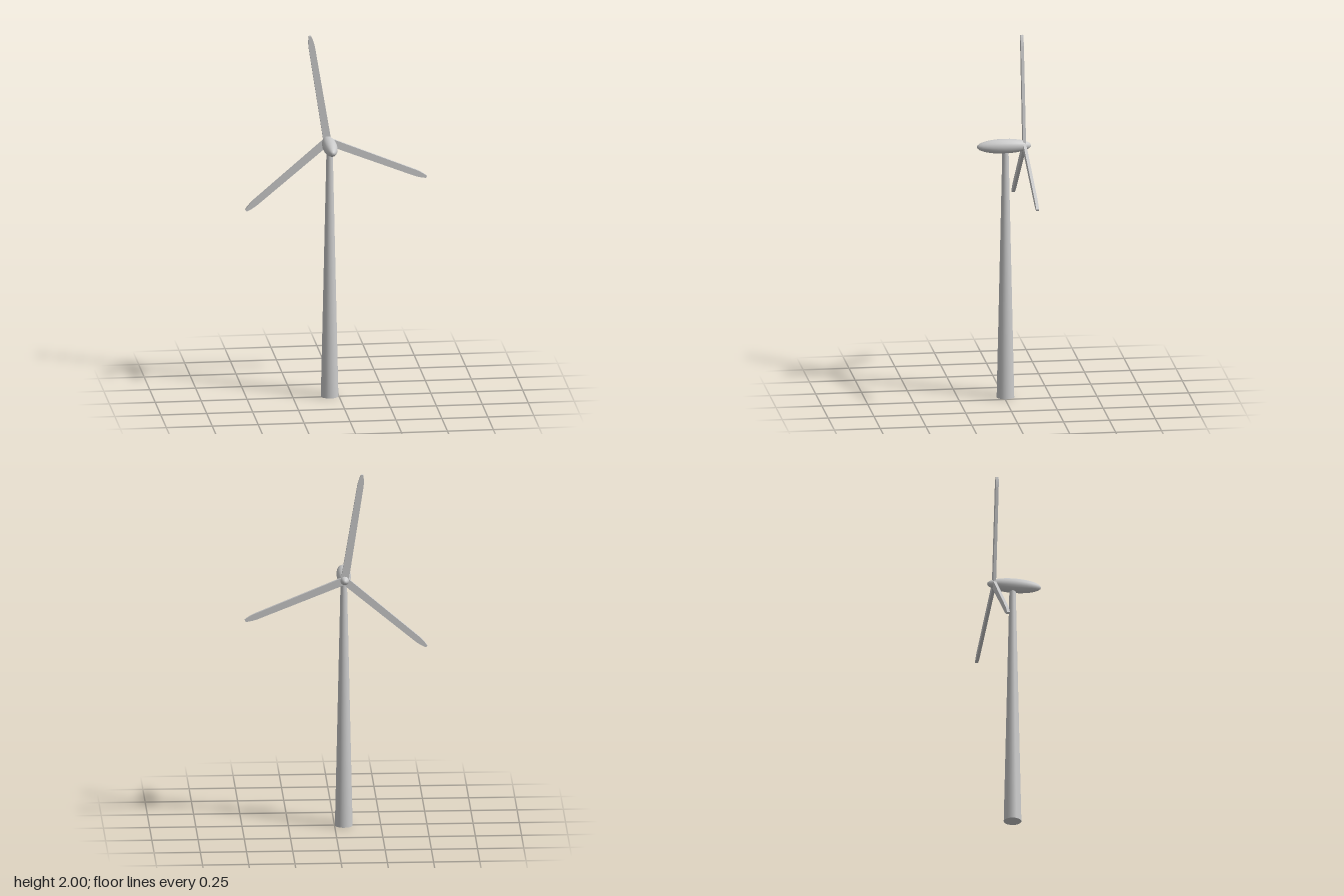
import * as THREE from 'three';

const HUB = { x: -0.05, y: 1.405, z: -0.11 };

// Blade outline along +y: gentle taper, then a narrow rounded tip
function bladeGeometry(length) {
  const depth = 0.016;
  const shape = new THREE.Shape();
  shape.moveTo(-0.021, 0);
  shape.lineTo(0.021, 0);
  shape.lineTo(0.017, length - 0.06);
  shape.quadraticCurveTo(0.014, length - 0.025, 0.006, length);
  shape.lineTo(-0.006, length);
  shape.quadraticCurveTo(-0.014, length - 0.025, -0.017, length - 0.06);
  shape.closePath();
  const geometry = new THREE.ExtrudeGeometry(shape, { depth, bevelEnabled: false, curveSegments: 4 });
  return geometry.translate(0, 0, -depth / 2);
}

export function createModel() {
  const model = new THREE.Group();
  model.name = 'windTurbine';
  const material = new THREE.MeshStandardMaterial({ color: 0xcccccc });

  const add = (name, geometry, x, y, z, parent = model) => {
    const mesh = new THREE.Mesh(geometry, material);
    mesh.name = name;
    mesh.position.set(x, y, z);
    parent.add(mesh);
    return mesh;
  };

  // Tapered tower, its top hidden inside the nacelle
  const towerHeight = 1.39;
  add('tower', new THREE.CylinderGeometry(0.017, 0.048, towerHeight, 24), HUB.x, towerHeight / 2, -0.008);

  // Long ellipsoid nacelle lying along z
  const nacelle = new THREE.SphereGeometry(1, 20, 14).rotateX(Math.PI / 2).scale(0.039, 0.04, 0.148);
  add('nacelle', nacelle, HUB.x, HUB.y, 0);

  // Three blades around the hub at the rear end: angle from +x, length
  const rotor = new THREE.Group();
  rotor.name = 'rotor';
  rotor.position.set(HUB.x, HUB.y, HUB.z);
  model.add(rotor);
  [[99.1, 0.601], [-22, 0.581], [220.2, 0.58]].forEach(([angle, length], i) => {
    const blade = add('blade' + (i + 1), bladeGeometry(length), 0, 0, 0, rotor);
    blade.rotation.z = THREE.MathUtils.degToRad(angle - 90);
  });

  return model;
}
